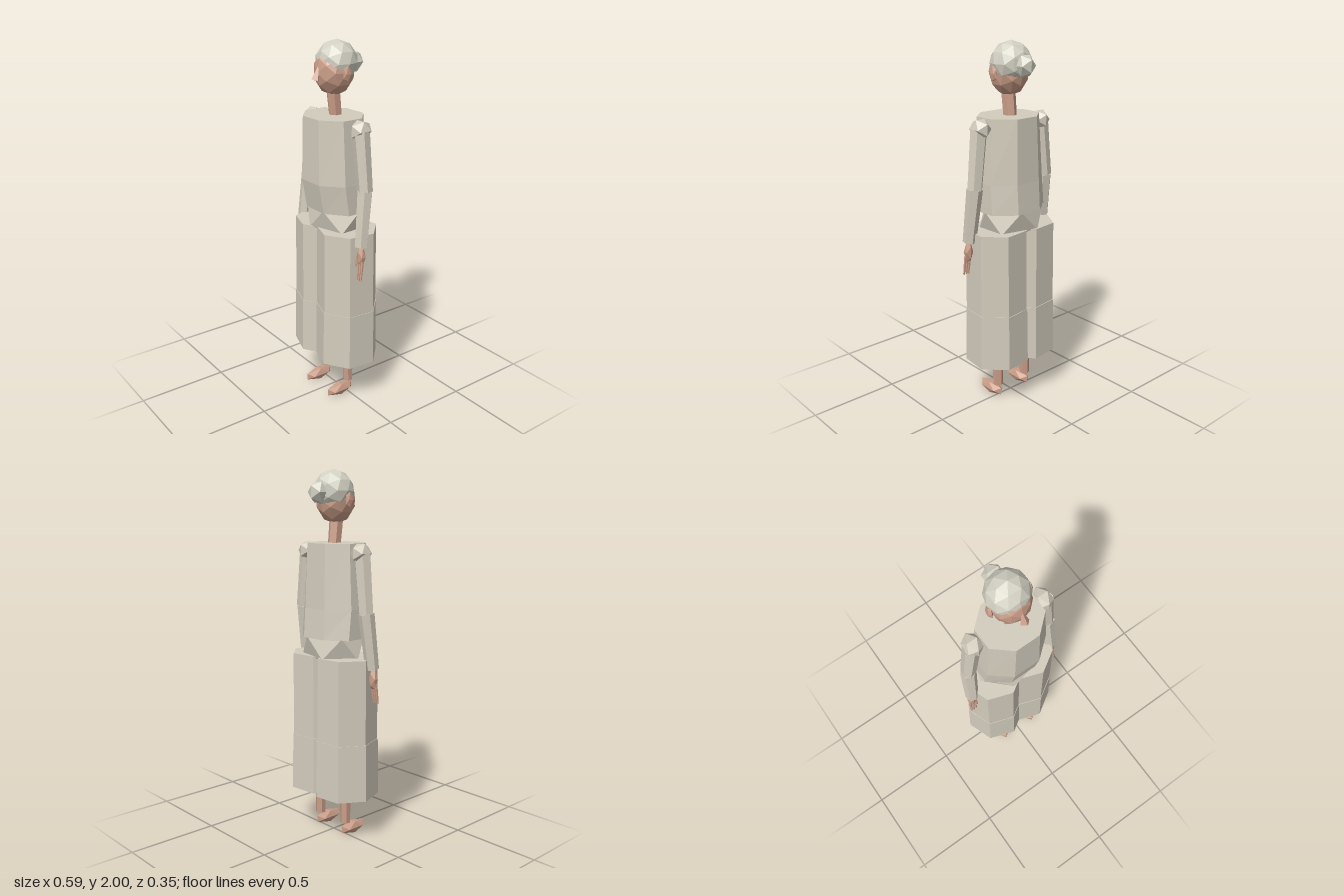
import * as THREE from 'three';

const flat = (name, color) => {
  const m = new THREE.MeshStandardMaterial({ color, flatShading: true });
  m.name = name;
  return m;
};

export function createModel() {
  const model = new THREE.Group();
  model.name = 'standingFigure';
  const cloth = flat('cloth', 0xd3ccbd);
  const hairMat = flat('hair', 0xd2d0c2);
  const skin = flat('skin', 0xcb9e89);

  const add = (name, geo, mat) => {
    const mesh = new THREE.Mesh(geo, mat);
    mesh.name = name;
    model.add(mesh);
    return mesh;
  };

  // Faceted ball stretched to the given half sizes
  const ball = (name, mat, pos, half, detail = 0) => {
    const geo = new THREE.IcosahedronGeometry(1, detail);
    geo.computeBoundingBox();
    const e = geo.boundingBox.max;
    geo.scale(half[0] / e.x, half[1] / e.y, half[2] / e.z);
    geo.translate(...pos);
    return add(name, geo, mat);
  };

  // Tapered prism from point a to point b
  const limb = (name, mat, a, b, ra, rb, sides = 6) => {
    const from = new THREE.Vector3(...a), to = new THREE.Vector3(...b);
    const dir = to.clone().sub(from);
    const mesh = add(name, new THREE.CylinderGeometry(rb, ra, dir.length(), sides), mat);
    mesh.position.copy(from).add(to).multiplyScalar(0.5);
    mesh.quaternion.setFromUnitVectors(new THREE.Vector3(0, 1, 0), dir.normalize());
    return mesh;
  };

  // Torso: three elliptical eight-sided rings, top to bottom
  const rings = [
    { y: 1.62, rx: 0.178, rz: 0.156, z: 0.018 },
    { y: 1.28, rx: 0.2, rz: 0.165, z: 0.015 },
    { y: 1.12, rx: 0.2, rz: 0.155, z: -0.005 },
  ];
  const torso = new THREE.CylinderGeometry(1, 1, 2, 8, 2, false, 0.4);
  const p = torso.attributes.position;
  for (let i = 0; i < p.count; i++) {
    const r = rings[Math.round(1 - p.getY(i))];
    p.setXYZ(i, p.getX(i) * r.rx, r.y, p.getZ(i) * r.rz + r.z);
  }
  add('torso', torso, cloth);

  // Waist: faceted solid with a point upward
  const waist = new THREE.IcosahedronGeometry(1, 0);
  waist.rotateX(-Math.atan((1 + Math.sqrt(5)) / 2));
  waist.rotateY(0.35);
  waist.scale(0.21, 0.13, 0.165);
  waist.translate(0, 1.07, -0.005);
  add('waist', waist, cloth);

  // Neck and head
  limb('neck', skin, [0, 1.58, 0], [0, 1.76, 0.02], 0.035, 0.038);
  ball('head', skin, [0, 1.843, 0.013], [0.104, 0.126, 0.107], 1);
  ball('hair', hairMat, [0, 1.887, -0.003], [0.112, 0.113, 0.11], 1);
  ball('bun', hairMat, [0, 1.88, -0.11], [0.047, 0.052, 0.047]);
  limb('nose', skin, [0, 1.806, 0.131], [0, 1.875, 0.108], 0.024, 0.004, 4);

  for (const s of [-1, 1]) {
    const side = s > 0 ? 'left' : 'right';
    ball(side + 'Ear', skin, [s * 0.108, 1.84, 0.01], [0.012, 0.037, 0.024]);

    // Sleeves
    const shoulder = [s * 0.212, 1.57, 0.004];
    const elbow = [s * 0.247, 1.26, 0];
    const wrist = [s * 0.262, 0.97, 0.033];
    ball(side + 'Shoulder', cloth, [s * 0.205, 1.572, 0], [0.045, 0.048, 0.056]);
    limb(side + 'UpperSleeve', cloth, shoulder, elbow, 0.046, 0.041);
    limb(side + 'LowerSleeve', cloth, [s * 0.247, 1.265, 0], wrist, 0.043, 0.036);

    // Hand with fingers and thumb
    ball(side + 'Palm', skin, [s * 0.267, 0.915, 0.036], [0.023, 0.052, 0.02]);
    for (let i = 0; i < 3; i++) {
      const x = s * (0.254 + i * 0.015);
      limb(side + 'Finger', skin, [x, 0.89, 0.04], [x + s * 0.003, 0.785, 0.053], 0.008, 0.005, 5);
    }
    limb(side + 'Thumb', skin, [s * 0.252, 0.92, 0.045], [s * 0.25, 0.86, 0.058], 0.008, 0.005, 5);

    // Skirt half: seven-sided upper and lower panels
    const panel = (name, top, bottom, rTop, rBottom) => {
      const geo = new THREE.CylinderGeometry(rTop, rBottom, top - bottom, 7, 1, false, 0.12);
      geo.translate(s * 0.1, (top + bottom) / 2, 0);
      add(side + name, geo, cloth);
    };
    panel('UpperSkirt', 1.02, 0.56, 0.166, 0.17);
    panel('LowerSkirt', 0.563, 0.25, 0.173, 0.179);

    // Leg and foot
    limb(side + 'Leg', skin, [s * 0.103, 0.075, -0.008], [s * 0.1, 0.4, -0.006], 0.028, 0.034);
    ball(side + 'Foot', skin, [s * 0.103, 0.033, 0.05], [0.031, 0.032, 0.083]);
  }
  return model;
}
